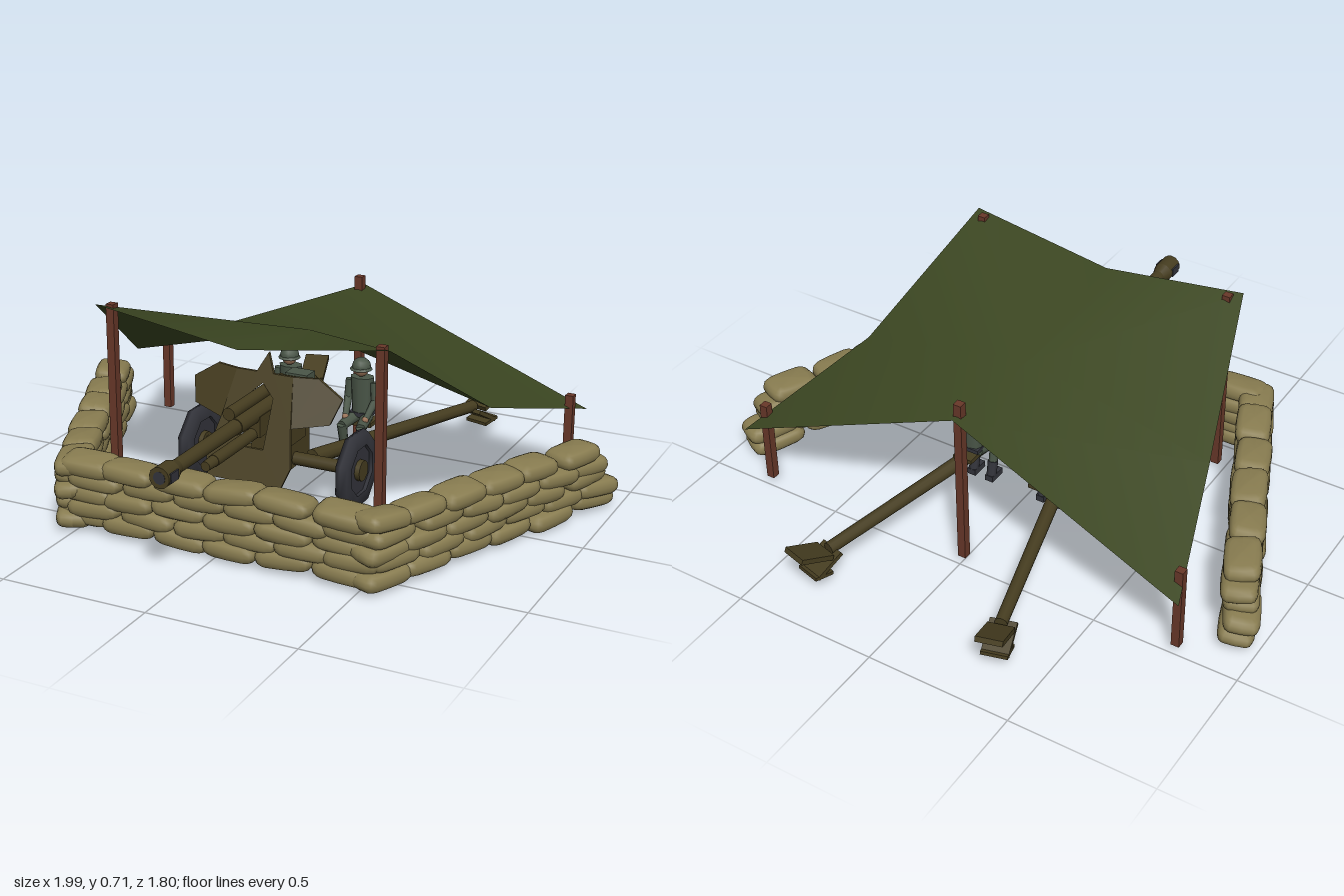
import * as THREE from 'three';

const mat = (name, color, double) => {
  const m = new THREE.MeshStandardMaterial({ color });
  m.name = name;
  if (double) m.side = THREE.DoubleSide;
  return m;
};
const V = (x, y, z) => new THREE.Vector3(x, y, z);

export function createModel() {
  const canvas = mat('canvas green', 0x3c4722, true);
  const sack = mat('sandbag tan', 0x887c50);
  const steel = mat('gun olive', 0x463d20);
  const wood = mat('post brown', 0x683829);
  const cloth = mat('uniform grey green', 0x4a5648);
  const dark = mat('rubber dark', 0x33343b);
  const skin = mat('skin', 0x9a7358);

  const model = new THREE.Group();
  model.name = 'gunEmplacement';
  const group = (name, parent = model) => {
    const g = new THREE.Group();
    g.name = name;
    parent.add(g);
    return g;
  };
  const add = (parent, name, geo, m, x = 0, y = 0, z = 0) => {
    const mesh = new THREE.Mesh(geo, m);
    mesh.name = name;
    mesh.position.set(x, y, z);
    parent.add(mesh);
    return mesh;
  };
  const box = (p, name, m, w, h, d, x, y, z) => add(p, name, new THREE.BoxGeometry(w, h, d), m, x, y, z);
  // Rod from point a (radius ra) to point b (radius rb)
  const rod = (p, name, m, a, b, ra, rb = ra, sides = 10) => {
    const dir = b.clone().sub(a);
    const mesh = add(p, name, new THREE.CylinderGeometry(rb, ra, dir.length(), sides), m);
    mesh.position.copy(a).add(b).multiplyScalar(0.5);
    mesh.quaternion.setFromUnitVectors(V(0, 1, 0), dir.normalize());
    return mesh;
  };
  let seed = 7;
  const rnd = () => ((seed = (seed * 16807) % 2147483647) / 2147483647) - 0.5;

  // Canopy: 3 x 3 net, back row first, folded from the front corners to the centre
  const sheet = new THREE.BufferGeometry().setFromPoints([
    V(-0.815, 0.25, -0.55), V(0, 0.59, -0.515), V(0.815, 0.25, -0.55),
    V(-0.655, 0.39, -0.06), V(0, 0.55, -0.08), V(0.655, 0.39, -0.06),
    V(-0.51, 0.705, 0.418), V(0, 0.63, 0.418), V(0.51, 0.705, 0.418),
  ]);
  sheet.setIndex([0, 3, 1, 1, 3, 4, 1, 4, 5, 1, 5, 2, 3, 6, 4, 4, 6, 7, 4, 7, 8, 4, 8, 5]);
  sheet.computeVertexNormals();
  add(model, 'canopy', sheet, canvas);

  // Posts
  const posts = group('posts');
  for (const [x, z, top] of [[-0.47, 0.385, 0.705], [0.47, 0.385, 0.705], [-0.78, -0.475, 0.32], [0.78, -0.475, 0.32], [0, -0.475, 0.63]])
    box(posts, 'post', wood, 0.028, top - 0.02, 0.028, x, (top + 0.02) / 2, z);

  // Sandbag: a squared, flattened sphere
  const bag = new THREE.SphereGeometry(1, 16, 8);
  const bp = bag.attributes.position;
  const pow = (t, e) => Math.sign(t) * Math.abs(t) ** e;
  for (let i = 0; i < bp.count; i++)
    bp.setXYZ(i, pow(bp.getX(i), 0.45), pow(bp.getY(i), 0.85), pow(bp.getZ(i), 0.45));
  bag.computeVertexNormals();
  // Rows of bags from a to b; each higher row stops a little shorter by "step"
  const wall = (name, a, b, n, step) => {
    const g = group(name);
    const dir = b.clone().sub(a);
    const yaw = Math.atan2(-dir.z, dir.x);
    for (let row = 0; row < 5; row++) {
      const reach = 1 - step * row, len = (dir.length() * reach) / n;
      const shift = row % 2 ? 0.2 : -0.2;
      for (let i = 0; i < n; i++) {
        const t = ((i + 0.5 + shift * (i === 0 || i === n - 1 ? 0.4 : 1)) / n) * reach;
        const c = a.clone().lerp(b, t);
        const m = add(g, 'sandbag', bag, sack, c.x + rnd() * 0.012, 0.04 + row * 0.044 + rnd() * 0.012, c.z + rnd() * 0.015);
        m.scale.set(len * 0.54, 0.032, 0.06);
        m.rotation.set(rnd() * 0.3, yaw + rnd() * 0.12, rnd() * 0.16, 'YXZ');
      }
    }
    return g;
  };
  const front = wall('frontWall', V(-0.54, 0, 0.55), V(0.54, 0, 0.55), 6, 0);
  wall('leftWall', V(0.51, 0, 0.6), V(0.945, 0, -0.4), 6, 0.02);
  wall('rightWall', V(-0.51, 0, 0.6), V(-0.945, 0, -0.4), 6, 0.02);
  for (const x of [-0.3, 0.2])
    add(front, 'looseSandbag', bag, sack, x, 0.2, 0.52).scale.set(0.085, 0.028, 0.05);

  // Gun barrel and recoil cylinders
  const gun = group('fieldGun');
  const along = (name, m, y, z0, z1, r0, r1, sides = 14) => rod(gun, name, m, V(0, y, z0), V(0, y, z1), r0, r1, sides);
  along('barrel', steel, 0.385, 0.42, 0.84, 0.025, 0.022);
  along('barrelSleeve', steel, 0.385, 0.05, 0.44, 0.03, 0.028);
  along('muzzleTaper', steel, 0.385, 0.8, 0.835, 0.022, 0.034);
  along('muzzle', steel, 0.385, 0.835, 0.9, 0.034, 0.034);
  along('bore', dark, 0.385, 0.897, 0.901, 0.02, 0.02);
  for (const s of [-1, 1]) box(gun, 'muzzleVent', dark, 0.006, 0.03, 0.045, s * 0.032, 0.385, 0.868);
  box(gun, 'breech', cloth, 0.08, 0.075, 0.06, 0, 0.388, -0.01);
  box(gun, 'breechRing', steel, 0.09, 0.06, 0.06, 0, 0.388, 0.05);
  along('upperCylinder', steel, 0.44, 0.12, 0.48, 0.021, 0.021);
  along('lowerCylinder', steel, 0.322, -0.15, 0.58, 0.02, 0.02);
  along('lowerCap', steel, 0.322, 0.575, 0.63, 0.019, 0.016);
  box(gun, 'cradle', steel, 0.06, 0.07, 0.36, 0, 0.35, 0.15);
  box(gun, 'saddle', steel, 0.13, 0.14, 0.16, 0, 0.23, 0.13);
  for (const s of [-1, 1]) box(gun, 'saddleCheek', steel, 0.02, 0.13, 0.1, s * 0.06, 0.31, 0.14);

  // Shield: sloping centre panel with a slot, and swept wings
  const panel = (name, pts, sweep, holes = []) => {
    const vec = (list) => list.map(([x, y]) => new THREE.Vector2(x, y));
    const shape = new THREE.Shape(vec(pts));
    for (const h of holes) shape.holes.push(new THREE.Path(vec(h)));
    const geo = new THREE.ExtrudeGeometry(shape, { depth: 0.01, bevelEnabled: false });
    const p = geo.attributes.position;
    for (let i = 0; i < p.count; i++)
      p.setZ(i, p.getZ(i) + 0.35 - (p.getY(i) - 0.24) * 0.47 - Math.max(0, Math.abs(p.getX(i)) - 0.1) * sweep);
    geo.computeVertexNormals();
    add(gun, name, geo, steel);
  };
  const half = [[0.13, 0.18], [0.15, 0.24], [0.125, 0.35], [0.1, 0.5], [0.03, 0.5]];
  const mirror = (pts) => pts.map(([x, y]) => [-x, y]).reverse();
  panel('shield', [...half, [0, 0.56], ...mirror(half)], 0,
    [[[-0.045, 0.28], [-0.045, 0.43], [0, 0.47], [0.045, 0.43], [0.045, 0.28]]]);
  const wing = [[0.12, 0.35], [0.24, 0.37], [0.265, 0.445], [0.18, 0.5], [0.1, 0.5]];
  panel('shieldWing', wing, 0.25);
  panel('shieldWing', mirror(wing), 0.25);

  // Axle, wheels, trails, spades and seats
  rod(gun, 'axle', steel, V(-0.28, 0.19, 0.155), V(0.28, 0.19, 0.155), 0.022);
  for (const s of [-1, 1]) {
    const wheel = group('wheel', gun);
    wheel.position.set(s * 0.285, 0.19, 0.155);
    const tyre = new THREE.LatheGeometry([[0.085, -0.02], [0.125, -0.02], [0.134, 0], [0.125, 0.02], [0.085, 0.02], [0.085, -0.02]]
      .map(([r, y]) => new THREE.Vector2(r, y)), 8);
    add(wheel, 'tyre', tyre, dark).rotation.set(Math.PI / 8, 0, Math.PI / 2);
    rod(wheel, 'wheelDisc', dark, V(-0.008, 0, 0), V(0.008, 0, 0), 0.09);
    rod(wheel, 'hub', steel, V(-0.025, 0, 0), V(0.025, 0, 0), 0.035);

    rod(gun, 'trail', steel, V(s * 0.1, 0.18, 0.1), V(s * 0.325, 0.108, -0.76), 0.026, 0.021);
    const spade = group('spade', gun);
    spade.position.set(s * 0.33, 0.1, -0.765);
    spade.rotation.y = -s * 0.266;
    box(spade, 'spadeUpper', steel, 0.088, 0.018, 0.13, 0, 0.028, -0.065).rotation.x = 0.4;
    box(spade, 'spadeLower', steel, 0.088, 0.015, 0.11, 0, -0.026, -0.02).rotation.x = -0.5;
    box(spade, 'spadeToe', steel, 0.088, 0.012, 0.07, 0, -0.052, -0.045).rotation.x = 0.15;
    box(gun, 'seat', steel, 0.07, 0.015, 0.08, s * 0.145, 0.205, -0.22);
  }

  // Seated crew, one on each trail, facing the gun
  for (const s of [-1, 1]) {
    const man = group('crewman');
    man.position.set(s * 0.135, 0.012, -0.2);
    const torso = add(man, 'torso', new THREE.CylinderGeometry(0.043, 0.036, 0.14, 8), cloth, 0, 0.285, -0.01);
    torso.scale.z = 0.75;
    box(man, 'belt', dark, 0.076, 0.014, 0.058, 0, 0.225, -0.01);
    add(man, 'head', new THREE.SphereGeometry(0.025, 10, 8), skin, 0, 0.383, 0);
    add(man, 'helmet', new THREE.SphereGeometry(0.033, 10, 6, 0, Math.PI * 2, 0, Math.PI * 0.55), cloth, 0, 0.392, 0);
    rod(man, 'helmetRim', cloth, V(0, 0.384, 0), V(0, 0.392, 0), 0.039, 0.033);
    for (const k of [-1, 1]) {
      rod(man, 'upperArm', cloth, V(k * 0.044, 0.34, -0.01), V(k * 0.05, 0.27, -0.005), 0.016, 0.014, 7);
      rod(man, 'forearm', cloth, V(k * 0.05, 0.275, -0.005), V(k * 0.038, 0.225, 0.04), 0.014, 0.011, 7);
      add(man, 'hand', new THREE.SphereGeometry(0.012, 7, 5), skin, k * 0.037, 0.222, 0.045);
      rod(man, 'thigh', cloth, V(k * 0.02, 0.215, -0.01), V(k * 0.035, 0.2, 0.075), 0.022, 0.018, 7);
      rod(man, 'shin', cloth, V(k * 0.035, 0.205, 0.075), V(k * 0.035, 0.1, 0.05), 0.018, 0.014, 7);
      rod(man, 'boot', dark, V(k * 0.035, 0.13, 0.057), V(k * 0.035, 0.075, 0.045), 0.018, 0.017, 7);
      box(man, 'bootFoot', dark, 0.03, 0.022, 0.062, k * 0.035, 0.07, 0.06);
    }
  }
  return model;
}
